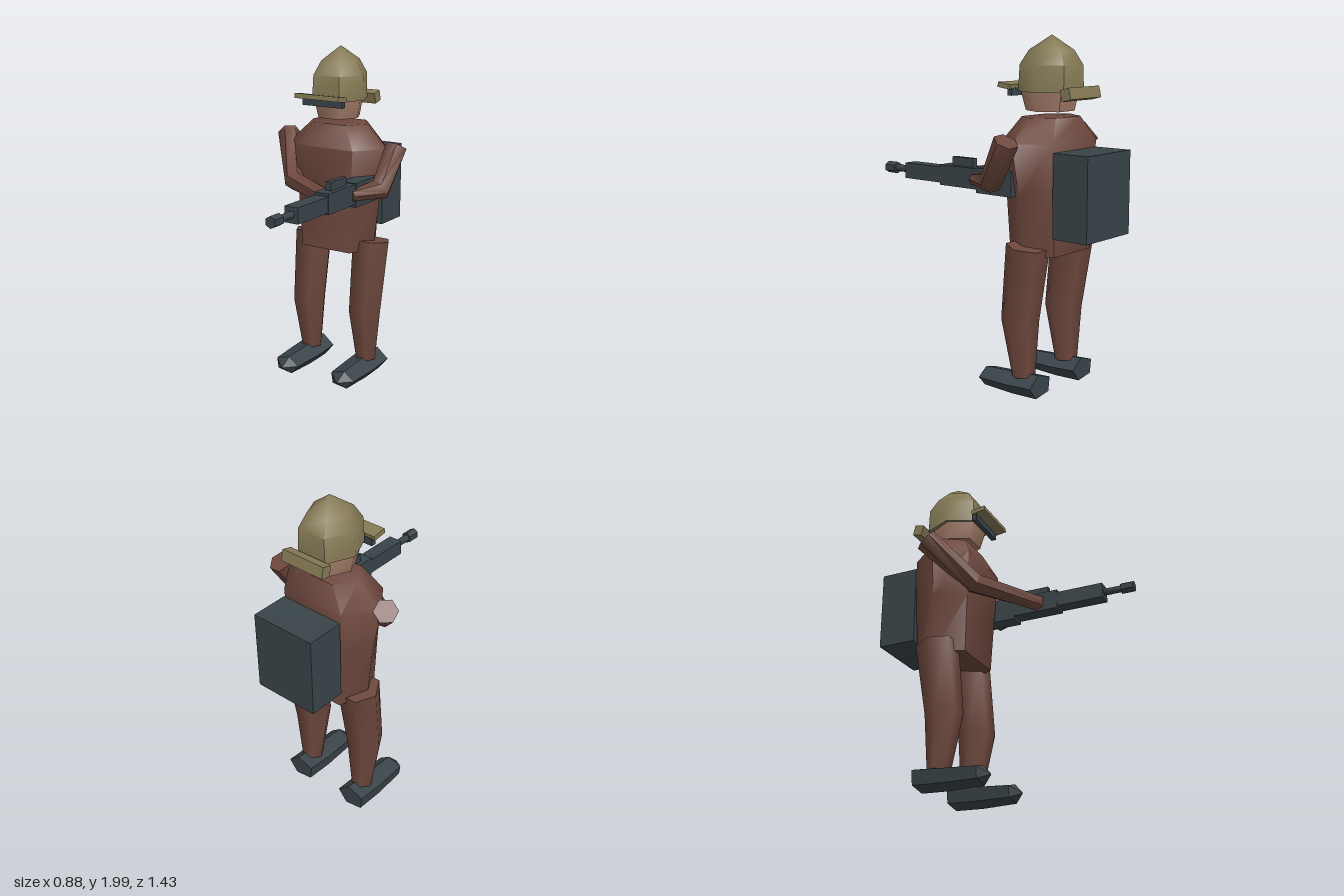
import * as THREE from 'three';
import { toCreasedNormals } from 'three/addons/utils/BufferGeometryUtils.js';

const paint = (color) => new THREE.MeshStandardMaterial({ color, roughness: 0.9 });
const V = (x, y, z) => new THREE.Vector3(x, y, z);

// Closed skin over a list of equal rings of points (counter-clockwise seen from the far end)
function loft(rings, crease = 1.1) {
  const n = rings[0].length, pos = [];
  const tri = (...pts) => pts.forEach((p) => pos.push(p.x, p.y, p.z));
  for (let r = 0; r < rings.length - 1; r++) {
    const a = rings[r], b = rings[r + 1];
    for (let i = 0; i < n; i++) {
      const j = (i + 1) % n;
      tri(a[i], a[j], b[j]);
      tri(a[i], b[j], b[i]);
    }
  }
  const first = rings[0], last = rings[rings.length - 1];
  for (let i = 1; i < n - 1; i++) {
    tri(first[0], first[i + 1], first[i]);
    tri(last[0], last[i], last[i + 1]);
  }
  const g = new THREE.BufferGeometry();
  g.setAttribute('position', new THREE.Float32BufferAttribute(pos, 3));
  return toCreasedNormals(g, crease);
}

// Upright six-sided body; each level is [y, half width, half width of front edge, front z, back z]
function hexBody(cx, levels) {
  return loft(levels.map(([y, w, f, zf, zb]) => {
    const m = (zf + zb) / 2;
    return [V(cx + w, y, m), V(cx + f, y, zb), V(cx - f, y, zb),
      V(cx - w, y, m), V(cx - f, y, zf), V(cx + f, y, zf)];
  }));
}

// Six-sided limb through joints [x, y, z, radius], mitred at the bends
function limb(joints, sides = 6) {
  const p = joints.map((j) => V(j[0], j[1], j[2]));
  const rings = p.map((c, k) => {
    const t = V(0, 0, 0);
    if (k > 0) t.add(p[k].clone().sub(p[k - 1]).normalize());
    if (k < p.length - 1) t.add(p[k + 1].clone().sub(p[k]).normalize());
    t.normalize();
    const ref = Math.abs(p[0].x - p[p.length - 1].x) > 0.3 ? V(0, 0.6, -1) : V(1, 0, 0);
    const u = ref.addScaledVector(t, -ref.dot(t)).normalize();
    const v = t.clone().cross(u);
    return Array.from({ length: sides }, (_, i) => {
      const a = (i / sides) * Math.PI * 2;
      return c.clone().addScaledVector(u, joints[k][3] * Math.cos(a))
        .addScaledVector(v, joints[k][3] * Math.sin(a));
    });
  });
  return loft(rings);
}

export function createModel() {
  const model = new THREE.Group();
  const cloth = paint(0x6e483e), olive = paint(0x857a55);
  const dark = paint(0x394449), skin = paint(0xa37c68);

  const add = (name, geometry, material, parent = model) => {
    const m = new THREE.Mesh(geometry, material);
    m.name = name;
    parent.add(m);
    return m;
  };
  // Box given by its extents along each axis
  const box = (name, [x0, x1], [y0, y1], [z0, z1], material, parent) => {
    const m = add(name, new THREE.BoxGeometry(x1 - x0, y1 - y0, z1 - z0), material, parent);
    m.position.set((x0 + x1) / 2, (y0 + y1) / 2, (z0 + z1) / 2);
    return m;
  };

  // Torso
  add('torso', hexBody(-0.012, [
    [0.81, 0.24, 0.165, -0.17, -0.475],
    [1.15, 0.28, 0.18, -0.155, -0.49],
    [1.43, 0.33, 0.2, -0.14, -0.485],
    [1.56, 0.185, 0.11, -0.205, -0.44],
  ]), cloth);

  // Head and helmet
  add('head', hexBody(-0.013, [
    [1.59, 0.125, 0.07, -0.2, -0.43],
    [1.7, 0.147, 0.08, -0.17, -0.45],
    [1.82, 0.14, 0.08, -0.18, -0.44],
  ]), skin);
  add('helmet', hexBody(-0.012, [
    [1.695, 0.162, 0.092, -0.163, -0.476],
    [1.84, 0.157, 0.088, -0.17, -0.473],
    [1.92, 0.112, 0.065, -0.217, -0.428],
    [2.0, 0.003, 0.002, -0.322, -0.326],
  ]), olive);
  const brim = box('frontBrim', [-0.16, 0.138], [1.71, 1.738], [-0.152, -0.065], olive);
  brim.rotation.x = -0.14;
  const neckGuard = box('neckGuard', [-0.153, 0.125], [1.658, 1.722], [-0.55, -0.49], olive);
  neckGuard.rotation.x = 0.25;
  box('visor', [-0.145, 0.125], [1.67, 1.712], [-0.155, -0.125], dark);

  // Backpack
  box('backpack', [-0.21, 0.187], [0.92, 1.385], [-0.715, -0.49], dark);

  // Arms: the right reaches across to the front of the rifle, the left holds its grip
  add('rightArm', limb([
    [-0.385, 1.455, -0.33, 0.068], [-0.19, 1.215, -0.11, 0.062], [0.2, 1.212, 0.125, 0.05],
  ]), cloth);
  add('leftArm', limb([
    [0.37, 1.45, -0.32, 0.07], [0.345, 1.22, -0.19, 0.065], [0.27, 1.21, 0.0, 0.032],
  ]), cloth);

  // Legs and boots
  for (const side of [-1, 1]) {
    const prefix = side < 0 ? 'right' : 'left';
    add(prefix + 'Leg', limb([
      [side * 0.198, 0.12, -0.305, 0.065],
      [side * 0.2, 0.44, -0.28, 0.107],
      [side * 0.203, 0.865, -0.335, 0.122],
    ]), cloth);

    // Five-sided boot; each section is [z, centre y, half width, half height]
    const x = side * 0.2 - 0.008;
    const boot = [[-0.42, 0.08, 0.096, 0.07], [-0.25, 0.07, 0.097, 0.066],
      [-0.04, 0.065, 0.085, 0.056], [0.01, 0.06, 0.008, 0.006]];
    add(prefix + 'Boot', loft(boot.map(([z, y, w, h]) =>
      Array.from({ length: 5 }, (_, i) => {
        const a = (i / 5) * Math.PI * 2 + 0.1;
        return V(x + w * Math.cos(a), y + h * Math.sin(a), z);
      })), 0.6), dark);
  }

  // Rifle
  const rifle = new THREE.Group();
  rifle.name = 'rifle';
  model.add(rifle);
  box('stock', [0.185, 0.283], [1.137, 1.277], [-0.28, -0.03], dark, rifle);
  box('receiver', [0.187, 0.28], [1.155, 1.272], [-0.1, 0.247], dark, rifle);
  box('handguard', [0.191, 0.276], [1.167, 1.257], [0.247, 0.53], dark, rifle);
  box('sight', [0.216, 0.25], [1.272, 1.32], [0.02, 0.178], dark, rifle);
  const tube = (name, r, z0, z1, sides) => {
    const g = new THREE.CylinderGeometry(r, r, z1 - z0, sides).rotateX(Math.PI / 2);
    add(name, toCreasedNormals(g, 0.9), dark, rifle).position.set(0.233, 1.214, (z0 + z1) / 2);
  };
  tube('barrel', 0.021, 0.52, 0.65, 8);
  tube('muzzle', 0.034, 0.637, 0.713, 6);

  return model;
}
